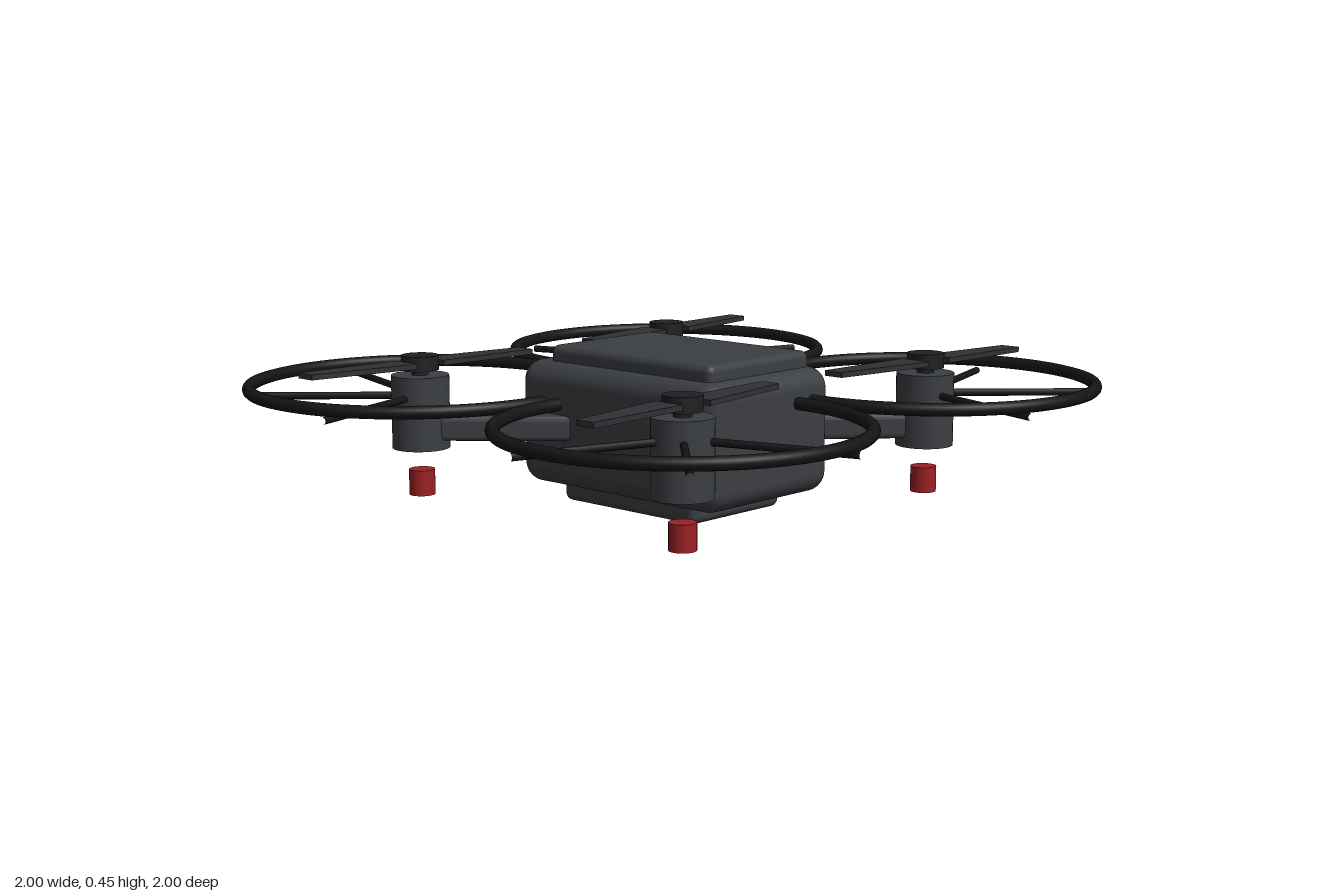
import * as THREE from 'three';
import { RoundedBoxGeometry } from 'three/addons/geometries/RoundedBoxGeometry.js';

const paint = (color) => new THREE.MeshStandardMaterial({ color });
const shellMat = paint(0x3b3e42);
const bladeMat = paint(0x303134);
const guardMat = paint(0x141516);
const hubMat = paint(0x1e1f21);
const redMat = paint(0x9c2024);

const ROTOR = 0.506; // rotor distance from the centre line in x and z
const RING_R = 0.476;
const RING_Y = 0.35;

function add(parent, name, geometry, material, x = 0, y = 0, z = 0) {
  const mesh = new THREE.Mesh(geometry, material);
  mesh.name = name;
  mesh.position.set(x, y, z);
  parent.add(mesh);
  return mesh;
}

// Flat plate from [x, z] points, rising from y0 to y1
function plate(points, y0, y1, bevel = 0) {
  const shape = new THREE.Shape(points.map(([x, z]) => new THREE.Vector2(x, -z)));
  const geometry = new THREE.ExtrudeGeometry(shape, {
    depth: y1 - y0 - 2 * bevel,
    bevelEnabled: bevel > 0,
    bevelThickness: bevel,
    bevelSize: bevel,
    bevelOffset: -bevel,
    bevelSegments: 3,
  });
  return geometry.rotateX(-Math.PI / 2).translate(0, y0 + bevel, 0);
}

// Round rod between two points
function rod(a, b, radius) {
  return new THREE.TubeGeometry(new THREE.LineCurve3(a, b), 1, radius, 8);
}

// One corner: arm, motor, propeller and guard; sx and sz pick the quadrant
function rotorUnit(sx, sz) {
  const unit = new THREE.Group();
  unit.position.set(sx * ROTOR, 0, sz * ROTOR);

  // Tapered arm running along the diagonal to the body
  const d = Math.SQRT1_2;
  const corner = (reach, half) => [sx * (-reach + half * d), sz * (-reach - half * d)];
  const arm = [corner(0, 0.052), corner(0.34, 0.07), corner(0.34, -0.07), corner(0, -0.052)];
  add(unit, 'arm', plate(arm, 0.195, 0.266, 0.014), shellMat);

  // Motor stack and the light below it
  add(unit, 'motor', new THREE.CylinderGeometry(0.082, 0.082, 0.208, 32), shellMat, 0, 0.274, 0);
  add(unit, 'motorShaft', new THREE.CylinderGeometry(0.024, 0.024, 0.04, 20), hubMat, 0, 0.385, 0);
  add(unit, 'propellerHub', new THREE.CylinderGeometry(0.053, 0.053, 0.042, 28), hubMat, 0, 0.413, 0);
  add(unit, 'light', new THREE.CylinderGeometry(0.037, 0.037, 0.073, 24), redMat, 0, 0.071, 0);

  // Two swept blades, half a turn apart
  for (const turn of [1, -1]) {
    const outline = [[0.05, -0.048], [0.375, 0.003], [0.375, 0.062], [0.05, 0.045]]
      .map(([x, z]) => [turn * sx * x, turn * sz * z]);
    add(unit, 'propellerBlade', plate(outline, 0.403, 0.418), bladeMat);
  }

  // Guard ring, open towards the body, with closed ends
  const outward = Math.atan2(sz, sx);
  const sweep = 4.81;
  const guard = new THREE.Group();
  guard.name = 'propellerGuard';
  guard.position.y = RING_Y;
  guard.rotation.y = -outward;
  unit.add(guard);
  const ring = new THREE.TorusGeometry(RING_R, 0.018, 12, 72, sweep);
  ring.rotateZ(-sweep / 2).rotateX(-Math.PI / 2);
  add(guard, 'guardRing', ring, guardMat);
  for (const side of [1, -1]) {
    const a = side * sweep / 2;
    const cap = new THREE.CircleGeometry(0.018, 12);
    if (side < 0) cap.rotateY(Math.PI);
    cap.rotateY(-a);
    add(guard, 'guardRingEnd', cap, guardMat, RING_R * Math.cos(a), 0, RING_R * Math.sin(a));
  }

  // Three spokes just under the ring
  for (const a of [-1.088, 0, 1.088]) {
    const dir = new THREE.Vector3(Math.cos(a), 0, Math.sin(a));
    const from = dir.clone().multiplyScalar(0.06).setY(-0.031);
    const to = dir.clone().multiplyScalar(RING_R).setY(-0.031);
    add(guard, 'guardSpoke', rod(from, to, 0.0105), guardMat);
  }
  return unit;
}

export function createModel() {
  const model = new THREE.Group();
  model.name = 'quadcopter';

  // Body with a raised top cover and a belly plate
  add(model, 'body', new RoundedBoxGeometry(0.51, 0.355, 0.752, 5, 0.058), shellMat, 0, 0.232, 0);
  add(model, 'topCover', new RoundedBoxGeometry(0.416, 0.08, 0.616, 4, 0.022), shellMat, 0, 0.414, 0.02);
  add(model, 'bellyPlate', new RoundedBoxGeometry(0.364, 0.08, 0.51, 4, 0.022), shellMat, 0, 0.042, -0.01);

  for (const sx of [1, -1]) {
    for (const sz of [1, -1]) {
      const unit = rotorUnit(sx, sz);
      unit.name = `${sz > 0 ? 'front' : 'back'}${sx > 0 ? 'Left' : 'Right'}Rotor`;
      model.add(unit);
    }
  }
  return model;
}
